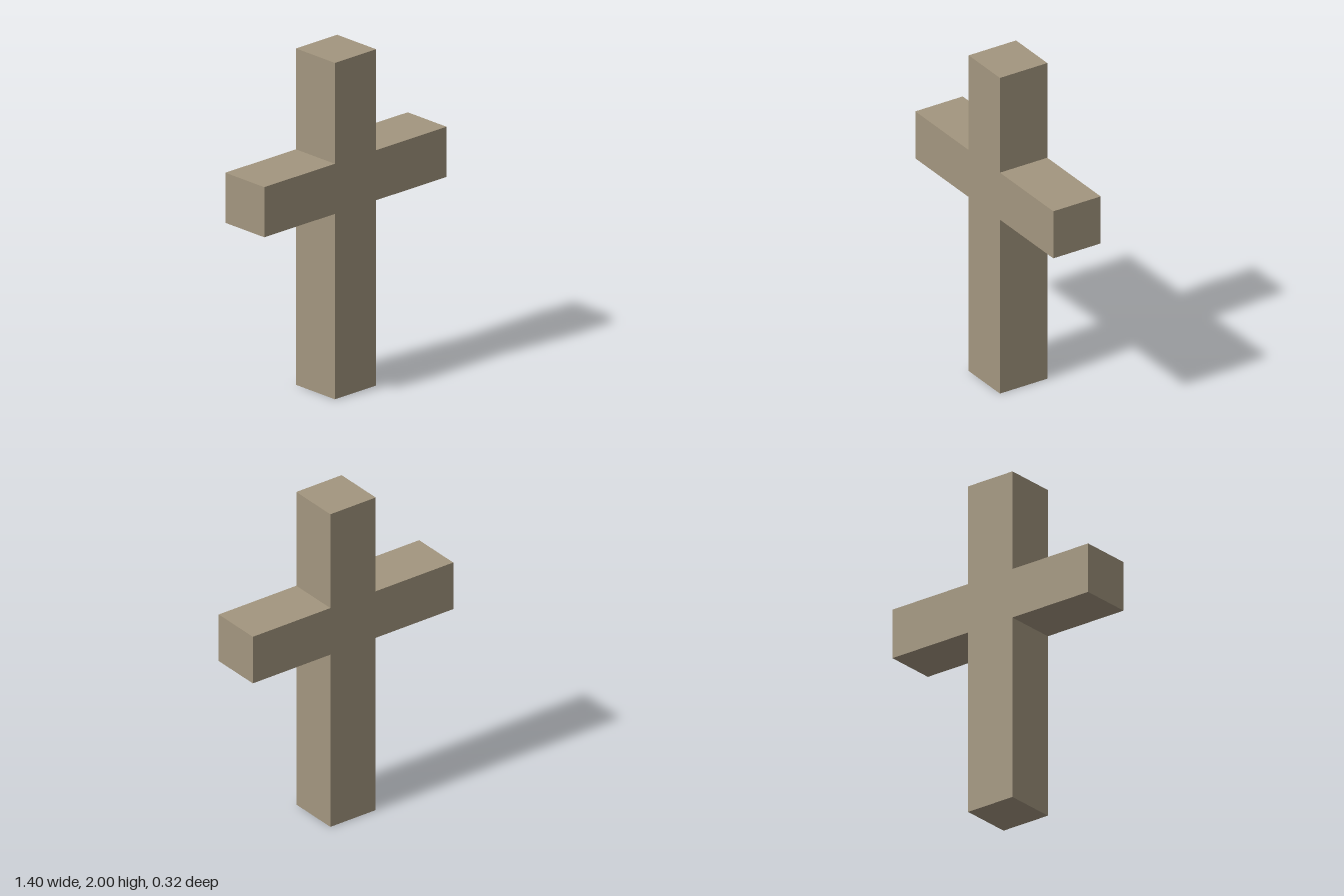
import * as THREE from 'three';

export function createModel() {
  const group = new THREE.Group();
  group.name = 'stoneCross';
  const stone = new THREE.MeshStandardMaterial({ color: 0xa3967f });
  stone.name = 'stone';

  const post = 0.158;  // half width of the post, also half the depth
  const arm = 0.698;   // half span of the crossbar
  const low = 1.102, high = 1.4, top = 2;

  // Right half of the outline, mirrored for the left half
  const half = [[post, 0], [post, low], [arm, low], [arm, high], [post, high], [post, top]];
  const outline = [...half, ...half.map(([x, y]) => [-x, y]).reverse()];
  const shape = new THREE.Shape(outline.map(([x, y]) => new THREE.Vector2(x, y)));

  // Post and crossbar as one seamless block
  const geometry = new THREE.ExtrudeGeometry(shape, { depth: 2 * post, bevelEnabled: false });
  geometry.translate(0, 0, -post);
  const cross = new THREE.Mesh(geometry, stone);
  cross.name = 'postAndCrossbar';
  group.add(cross);
  return group;
}
